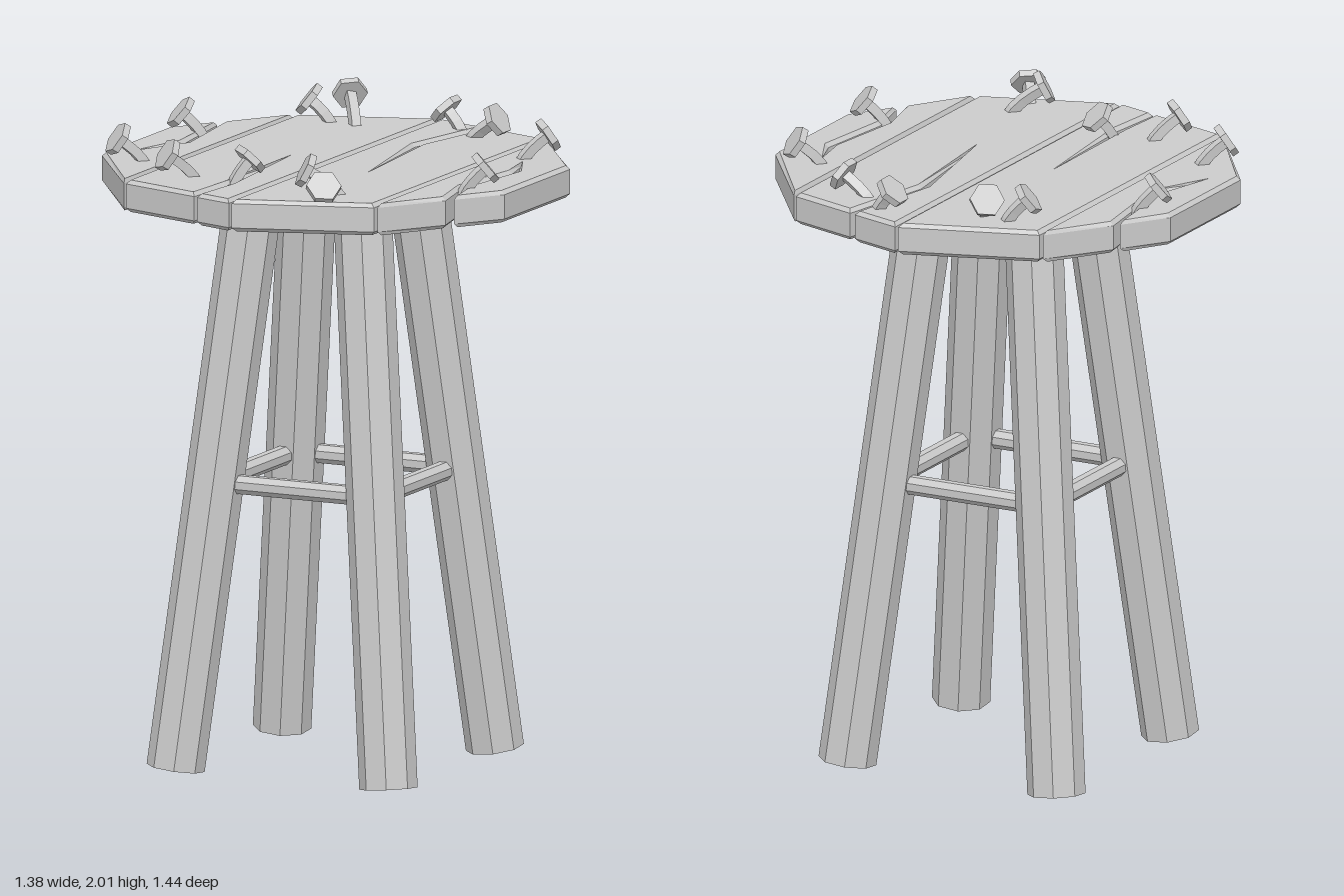
import * as THREE from 'three';

const material = new THREE.MeshStandardMaterial({ color: 0xcccccc, flatShading: true, side: THREE.DoubleSide });
const V = (x, y, z) => new THREE.Vector3(x, y, z);
const UP = V(0, 1, 0);

function add(parent, geometry, name) {
  const mesh = new THREE.Mesh(geometry, material);
  mesh.name = name;
  parent.add(mesh);
  return mesh;
}

// Straight faceted rod between two points
function rod(parent, a, b, radius, sides, name) {
  const dir = b.clone().sub(a);
  const geometry = new THREE.CylinderGeometry(radius, radius, dir.length(), sides);
  geometry.rotateY(Math.PI / sides);
  const mesh = add(parent, geometry, name);
  mesh.position.copy(a).lerp(b, 0.5);
  mesh.quaternion.setFromUnitVectors(UP, dir.normalize());
}

// Plank outlines as [x, z], each with a long split running in from its edge
const PLANKS = [
  [[-.435, .58], [-.69, .22], [-.69, -.23], [-.59, -.37], [-.548, -.05], [-.61, .14],
    [-.53, -.04], [-.577, -.39], [-.435, -.58]],
  [[-.425, .585], [-.148, .672], [-.135, .48], [-.15, .02], [-.115, .48], [-.134, .68],
    [-.005, .72], [-.005, -.72], [-.425, -.585]],
  [[.005, -.72], [.175, -.667], [.108, -.33], [.18, .12], [.126, -.33], [.195, -.66],
    [.425, -.585], [.425, .585], [.005, .72]],
  [[.435, -.58], [.69, -.23], [.69, .22], [.588, .36], [.552, .19], [.583, -.085], [.535, -.21],
    [.567, -.08], [.533, .2], [.572, .387], [.435, .58]],
];

// Bent nails: base x, base z, head x, head z, head y
const NAILS = [
  [-.27, -.53, -.34, -.50, 1.955], [-.18, -.50, -.25, -.60, 1.965],
  [.14, -.60, .08, -.60, 1.945], [.20, -.51, .30, -.51, 1.945],
  [.50, -.26, .57, -.32, 1.955], [.55, .23, .61, .19, 1.945],
  [.24, .58, .28, .64, 1.935], [.27, .48, .17, .54, 1.96],
  [-.14, .43, -.10, .385, 1.945], [-.26, .42, -.33, .49, 1.955],
  [-.51, .27, -.58, .33, 1.955], [-.56, -.22, -.62, -.18, 1.945],
];

function addNail(parent, [bx, bz, hx, hz, hy]) {
  const nail = new THREE.Group();
  nail.name = 'bentNail';
  const head = V(hx, hy, hz);
  const bend = V(bx + (hx - bx) * 0.25, hy - 0.045, bz + (hz - bz) * 0.25);
  const curve = new THREE.QuadraticBezierCurve3(V(bx, 1.86, bz), bend, head);
  add(nail, new THREE.TubeGeometry(curve, 4, 0.021, 4), 'nailShaft');
  const cap = add(nail, new THREE.CylinderGeometry(0.054, 0.054, 0.022, 6), 'nailHead');
  cap.position.copy(head);
  cap.quaternion.setFromUnitVectors(UP, curve.getTangent(1));
  parent.add(nail);
}

export function createModel() {
  const stool = new THREE.Group();
  stool.name = 'stool';

  // Seat: four split planks with chamfered edges
  const seat = new THREE.Group();
  seat.name = 'seat';
  const bevel = 0.012;
  for (const outline of PLANKS) {
    const shape = new THREE.Shape(outline.map(([x, z]) => new THREE.Vector2(x, -z)));
    const geometry = new THREE.ExtrudeGeometry(shape, {
      depth: 0.1 - 2 * bevel, bevelThickness: bevel, bevelSize: bevel, bevelOffset: -bevel, bevelSegments: 1,
    });
    geometry.rotateX(-Math.PI / 2).translate(0, 1.785 + bevel, 0);
    add(seat, geometry, 'plank');
  }
  stool.add(seat);

  // Nails around the rim
  const nails = new THREE.Group();
  nails.name = 'nails';
  NAILS.forEach((n) => addNail(nails, n));
  stool.add(nails);

  // Four splayed octagonal legs
  for (const sx of [-1, 1]) {
    for (const sz of [-1, 1]) {
      rod(stool, V(.365 * sx, .0135, .365 * sz), V(.185 * sx, 1.8, .185 * sz), 0.09, 8, 'leg');
    }
  }

  // Square of rungs joining the legs
  const r = 0.275, y = 0.9;
  for (const s of [-1, 1]) {
    rod(stool, V(-r, y, r * s), V(r, y, r * s), 0.031, 8, 'crossRung');
    rod(stool, V(r * s, y, -r), V(r * s, y, r), 0.031, 8, 'sideRung');
  }
  return stool;
}
